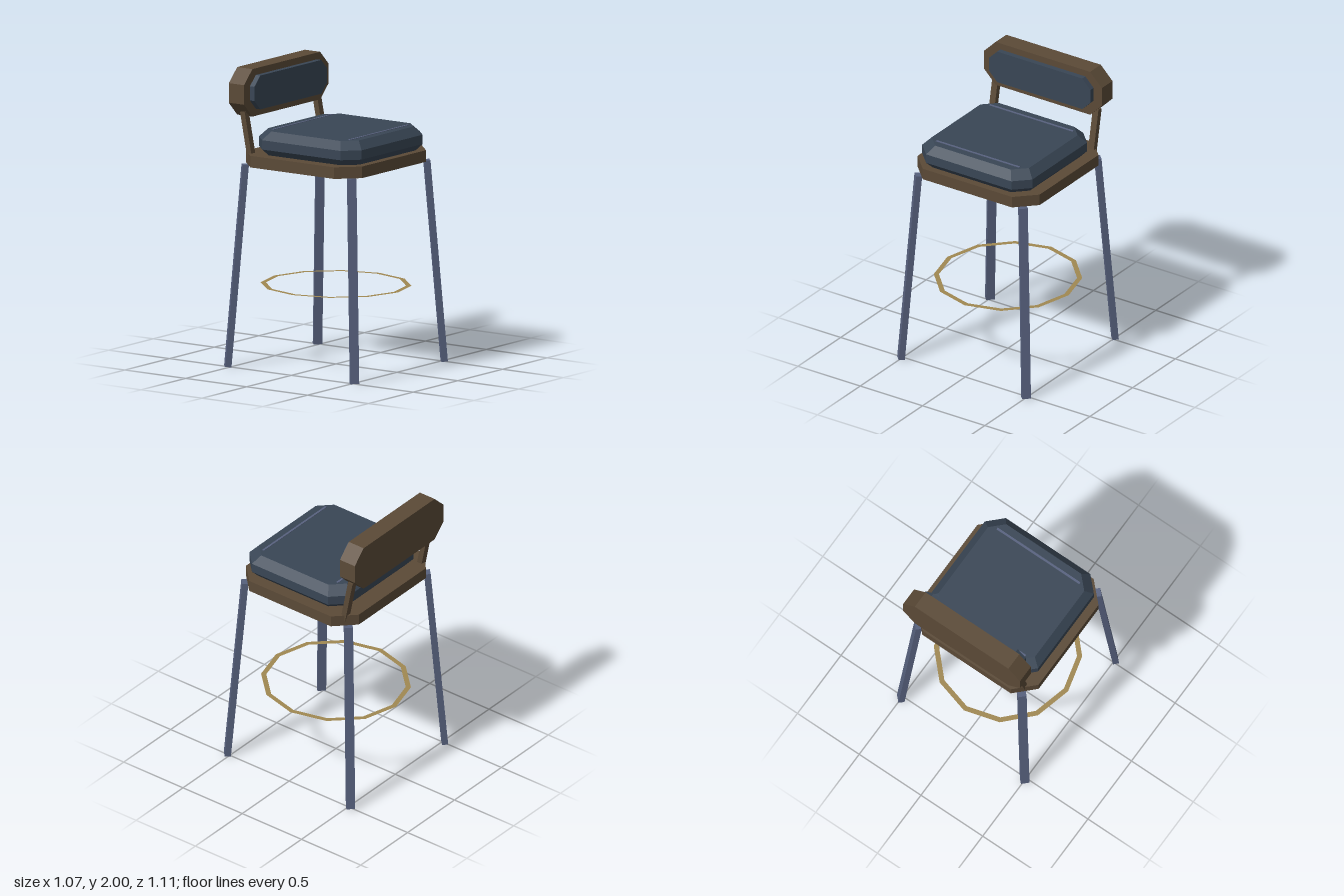
import * as THREE from 'three';

const material = (name, color, extra = {}) => {
  const m = new THREE.MeshStandardMaterial({ color, ...extra });
  m.name = name;
  return m;
};

// Chamfered rectangle, listed from +x towards +z
function octagon(x0, x1, z0, z1, c) {
  return [
    [x1, z0 + c], [x1, z1 - c], [x1 - c, z1], [x0 + c, z1],
    [x0, z1 - c], [x0, z0 + c], [x0 + c, z0], [x1 - c, z0],
  ];
}

// Closed, flat-faced solid from [height, outline] sections stacked upwards
function loft(sections) {
  const pos = [];
  const rings = sections.map(([y, pts]) => pts.map(([x, z]) => [x, y, z]));
  const n = rings[0].length;
  const tri = (a, b, c) => pos.push(...a, ...b, ...c);
  for (let s = 0; s < rings.length - 1; s++) {
    const lo = rings[s], hi = rings[s + 1];
    for (let i = 0; i < n; i++) {
      const j = (i + 1) % n;
      tri(lo[i], hi[i], lo[j]);
      tri(hi[i], hi[j], lo[j]);
    }
  }
  const first = rings[0], last = rings[rings.length - 1];
  for (let i = 1; i < n - 1; i++) {
    tri(first[0], first[i], first[i + 1]);
    tri(last[0], last[i + 1], last[i]);
  }
  const g = new THREE.BufferGeometry();
  g.setAttribute('position', new THREE.Float32BufferAttribute(pos, 3));
  g.computeVertexNormals();
  return g;
}

// Box bar between two points; side is the direction of its width
function bar(from, to, side, width, depth) {
  const a = new THREE.Vector3(...from), b = new THREE.Vector3(...to);
  const up = b.clone().sub(a);
  const g = new THREE.BoxGeometry(width, up.length(), depth);
  up.normalize();
  const x = new THREE.Vector3(...side).normalize();
  const z = x.clone().cross(up).normalize();
  g.applyMatrix4(new THREE.Matrix4().makeBasis(x, up, z).setPosition(a.add(b).multiplyScalar(0.5)));
  return g;
}

export function createModel() {
  const root = new THREE.Group();
  root.name = 'barStool';
  const wood = material('dark wood', 0x5b4a37);
  const fabric = material('blue grey upholstery', 0x394655);
  const metal = material('slate metal', 0x58627f);
  const brass = material('brass', 0xa08852, { side: THREE.DoubleSide });

  const add = (name, geometry, mat) => {
    const mesh = new THREE.Mesh(geometry, mat);
    mesh.name = name;
    root.add(mesh);
    return mesh;
  };

  // Seat
  const frame = octagon(-0.49, 0.49, -0.476, 0.476, 0.132);
  add('seatFrame', loft([[1.362, frame], [1.44, frame]]), wood);
  const rim = octagon(-0.442, 0.442, -0.382, 0.46, 0.1);
  const inner = octagon(-0.39, 0.39, -0.333, 0.41, 0.087);
  add('seatCushion', loft([[1.425, inner], [1.482, rim], [1.545, rim], [1.6, inner]]), fabric);

  // Piping stripes on the cushion
  for (const z of [-0.275, 0.35]) {
    add('cushionPiping', new THREE.BoxGeometry(0.67, 0.004, 0.015), metal).position.set(0, 1.601, z);
  }

  // Backrest, lofted flat and then stood upright
  const back = octagon(-0.473, 0.473, -2, -1.68, 0.094);
  add('backrest', loft([[-0.533, back], [-0.408, back]]).rotateX(Math.PI / 2), wood);
  const pad = octagon(-0.407, 0.407, -1.955, -1.727, 0.066);
  add('backrestPad', loft([[-0.41, pad], [-0.371, pad]]).rotateX(Math.PI / 2), fabric);

  // Legs and backrest posts
  for (const sx of [1, -1]) {
    add('backPost', bar([sx * 0.403, 1.4, -0.395], [sx * 0.403, 1.715, -0.457], [1, 0, 0], 0.045, 0.038), wood);
    for (const sz of [1, -1]) {
      add(sz > 0 ? 'frontLeg' : 'rearLeg',
        bar([sx * 0.502, 0.003, sz * 0.52], [sx * 0.42, 1.362, sz * 0.437], [sx, 0, -sz], 0.058, 0.041), metal);
    }
  }

  // Flat twelve-sided footrest ring
  const ring = new THREE.RingGeometry(0.93, 1, 12, 1).rotateX(-Math.PI / 2).scale(0.487, 1, 0.508);
  add('footrestRing', ring, brass).position.y = 0.54;

  return root;
}
